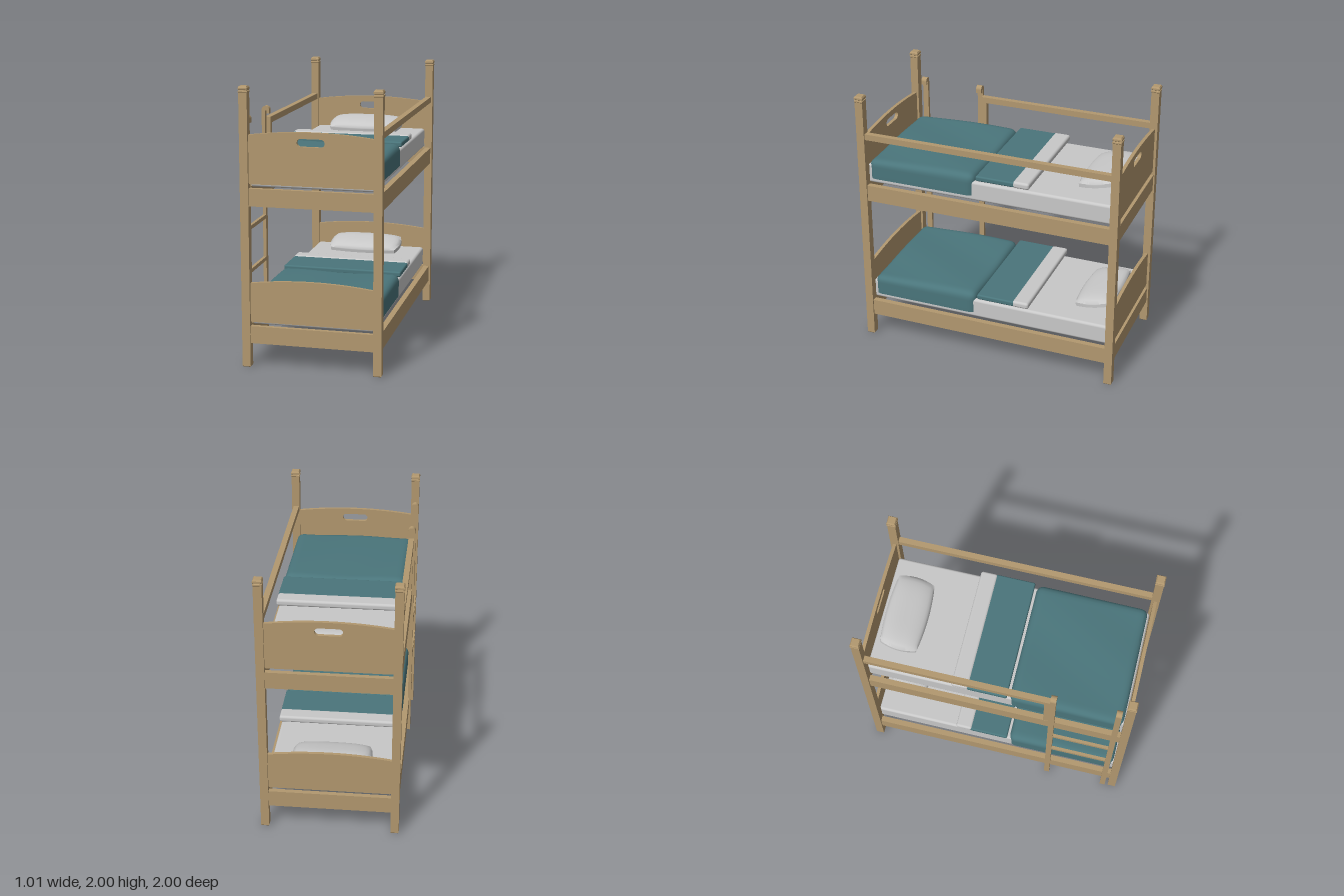
import * as THREE from 'three';
import { mergeVertices, toCreasedNormals } from 'three/addons/utils/BufferGeometryUtils.js';
import { RoundedBoxGeometry } from 'three/addons/geometries/RoundedBoxGeometry.js';

const wood = new THREE.MeshStandardMaterial({ color: 0xb2986f });
wood.name = 'wood';
const linen = new THREE.MeshStandardMaterial({ color: 0xc8c8c8 });
linen.name = 'linen';
const teal = new THREE.MeshStandardMaterial({ color: 0x4a757b });
teal.name = 'teal';

const clamp = THREE.MathUtils.clamp;

function add(parent, name, geometry, material, x = 0, y = 0, z = 0) {
  const mesh = new THREE.Mesh(geometry, material);
  mesh.name = name;
  mesh.position.set(x, y, z);
  parent.add(mesh);
  return mesh;
}

const box = (parent, name, w, h, d, x, y, z) =>
  add(parent, name, new THREE.BoxGeometry(w, h, d), wood, x, y, z);

// Subdivided box whose vertices are moved by a rule, then smoothed
function softBox(w, h, d, segs, rule) {
  const g = new THREE.BoxGeometry(w, h, d, ...segs);
  const p = g.attributes.position;
  const v = new THREE.Vector3();
  for (let i = 0; i < p.count; i++) {
    rule(v.fromBufferAttribute(p, i));
    p.setXYZ(i, v.x, v.y, v.z);
  }
  g.deleteAttribute('normal');
  g.deleteAttribute('uv');
  return toCreasedNormals(mergeVertices(g), 0.9);
}

// Square post with grooved cap
function postGeometry() {
  const profile = [
    [0, 0], [0.026, 0], [0.03, 0.006], [0.03, 1.953], [0.033, 1.957], [0.033, 1.966],
    [0.028, 1.969], [0.028, 1.973], [0.033, 1.977], [0.033, 1.989], [0.026, 2], [0, 2],
  ].map(([r, y]) => new THREE.Vector2(r * Math.SQRT2, y));
  const g = new THREE.LatheGeometry(profile, 4, Math.PI / 4).toNonIndexed();
  g.computeVertexNormals();
  return g;
}

// Arched end board, optionally with a hand hole
function boardGeometry(height, hole) {
  const w = 0.443, rise = 0.03, depth = 0.025, c = 0.012;
  const s = new THREE.Shape();
  s.moveTo(-w + c, 0);
  s.lineTo(w - c, 0);
  s.quadraticCurveTo(w, 0, w, c);
  s.lineTo(w, height - rise);
  s.quadraticCurveTo(0, height + rise, -w, height - rise);
  s.lineTo(-w, c);
  s.quadraticCurveTo(-w, 0, -w + c, 0);
  if (hole) {
    const r = 0.028, y = 0.302;
    const p = new THREE.Path();
    p.absarc(0.07, y, r, -Math.PI / 2, Math.PI / 2, false);
    p.absarc(-0.07, y, r, Math.PI / 2, Math.PI * 1.5, false);
    s.holes.push(p);
  }
  const g = new THREE.ExtrudeGeometry(s, { depth, bevelEnabled: false, curveSegments: 16 });
  return g.translate(0, 0, -depth / 2);
}

// Blanket: rounded edges, straight lower hem, gentle waves on top
function blanketGeometry() {
  const w = 0.91, h = 0.22, d = 0.83, r = 0.05, hem = -0.055;
  const core = new THREE.Vector3(w / 2 - r, h / 2 - r, d / 2 - r);
  const low = core.clone().negate();
  const q = new THREE.Vector3();
  return softBox(w, h, d, [36, 10, 36], (v) => {
    q.copy(v).clamp(low, core);
    v.sub(q).setLength(r).add(q);
    const top = clamp((v.y - 0.03) / 0.08, 0, 1);
    const wave = 0.005 * Math.sin(v.x * 9 + v.z * 5) - 0.004 - 0.044 * (v.z + 0.12) ** 2;
    v.y = Math.max(v.y, hem) + top * wave;
  });
}

// Pillow: full in the middle, thin at the rim, flatter underneath
function pillowGeometry() {
  const w = 0.575, d = 0.31;
  return softBox(w, 2, d, [24, 4, 18], (v) => {
    const u = clamp(v.x / (w / 2), -1, 1);
    const t = clamp(v.z / (d / 2), -1, 1);
    const k = ((1 - Math.abs(u) ** 4) * (1 - Math.abs(t) ** 2.6)) ** 0.55;
    v.x *= 1 - 0.09 * t * t;
    v.z *= 1 - 0.13 * u * u;
    v.y *= v.y > 0 ? 0.014 + 0.038 * k : 0.014 + 0.016 * k;
  });
}

// One sleeping level; local y = 0 is the underside of its rails
function buildBunk(name, boardHeight, hole) {
  const bunk = new THREE.Group();
  bunk.name = name;
  const board = boardGeometry(boardHeight, hole);
  for (const s of [-1, 1]) {
    box(bunk, 'sideRail', 0.042, 0.125, 1.88, s * 0.471, 0.0625, 0);
    box(bunk, 'endRail', 0.89, 0.125, 0.036, 0, 0.0625, s * 0.968);
    add(bunk, s > 0 ? 'footBoard' : 'headBoard', board, wood, 0, 0.155, s * 0.966);
  }
  add(bunk, 'mattress', new RoundedBoxGeometry(0.884, 0.15, 1.9, 4, 0.02), linen, 0, 0.206, 0);
  add(bunk, 'blanket', blanketGeometry(), teal, 0, 0.226, 0.52);
  add(bunk, 'foldedBlanket', new RoundedBoxGeometry(0.91, 0.04, 0.295, 3, 0.012), teal, 0, 0.318, -0.06);
  add(bunk, 'foldedSheet', new RoundedBoxGeometry(0.91, 0.05, 0.125, 4, 0.018), linen, 0, 0.319, -0.258);
  add(bunk, 'pillow', pillowGeometry(), linen, 0, 0.333, -0.762).rotation.x = 0.19;
  return bunk;
}

// Ladder with hooked tops and rungs
function buildLadder() {
  const ladder = new THREE.Group();
  ladder.name = 'ladder';
  const s = new THREE.Shape();
  s.moveTo(-0.506, 0);
  s.lineTo(-0.482, 0);
  s.lineTo(-0.482, 1.752);
  s.absarc(-0.475, 1.752, 0.007, Math.PI, 0, true);
  s.lineTo(-0.468, 1.735);
  s.lineTo(-0.45, 1.735);
  s.lineTo(-0.45, 1.762);
  s.absarc(-0.478, 1.762, 0.028, 0, Math.PI, false);
  const stile = new THREE.ExtrudeGeometry(s, { depth: 0.042, bevelEnabled: false, curveSegments: 12 });
  for (const z of [0.43, 0.892]) add(ladder, 'ladderStile', stile, wood, 0, 0, z - 0.021);
  for (const y of [0.657, 0.973]) box(ladder, 'ladderRung', 0.022, 0.028, 0.44, -0.494, y, 0.661);
  return ladder;
}

export function createModel() {
  const model = new THREE.Group();
  model.name = 'bunkBed';

  // Corner posts
  const post = postGeometry();
  for (const x of [-0.473, 0.473])
    for (const z of [-0.967, 0.967]) add(model, 'cornerPost', post, wood, x, 0, z);

  // Two beds
  const lower = buildBunk('lowerBunk', 0.312, false);
  lower.position.y = 0.175;
  const upper = buildBunk('upperBunk', 0.375, true);
  upper.position.y = 1.165;
  model.add(lower, upper);

  // Guard rails, the ladder side stopping at a short support
  box(model, 'guardRail', 0.042, 0.045, 1.88, 0.47, 1.683, 0);
  box(model, 'shortGuardRail', 0.042, 0.045, 1.345, -0.475, 1.683, -0.265);
  box(model, 'guardRailSupport', 0.036, 0.38, 0.04, -0.472, 1.475, 0.387);

  model.add(buildLadder());
  return model;
}
